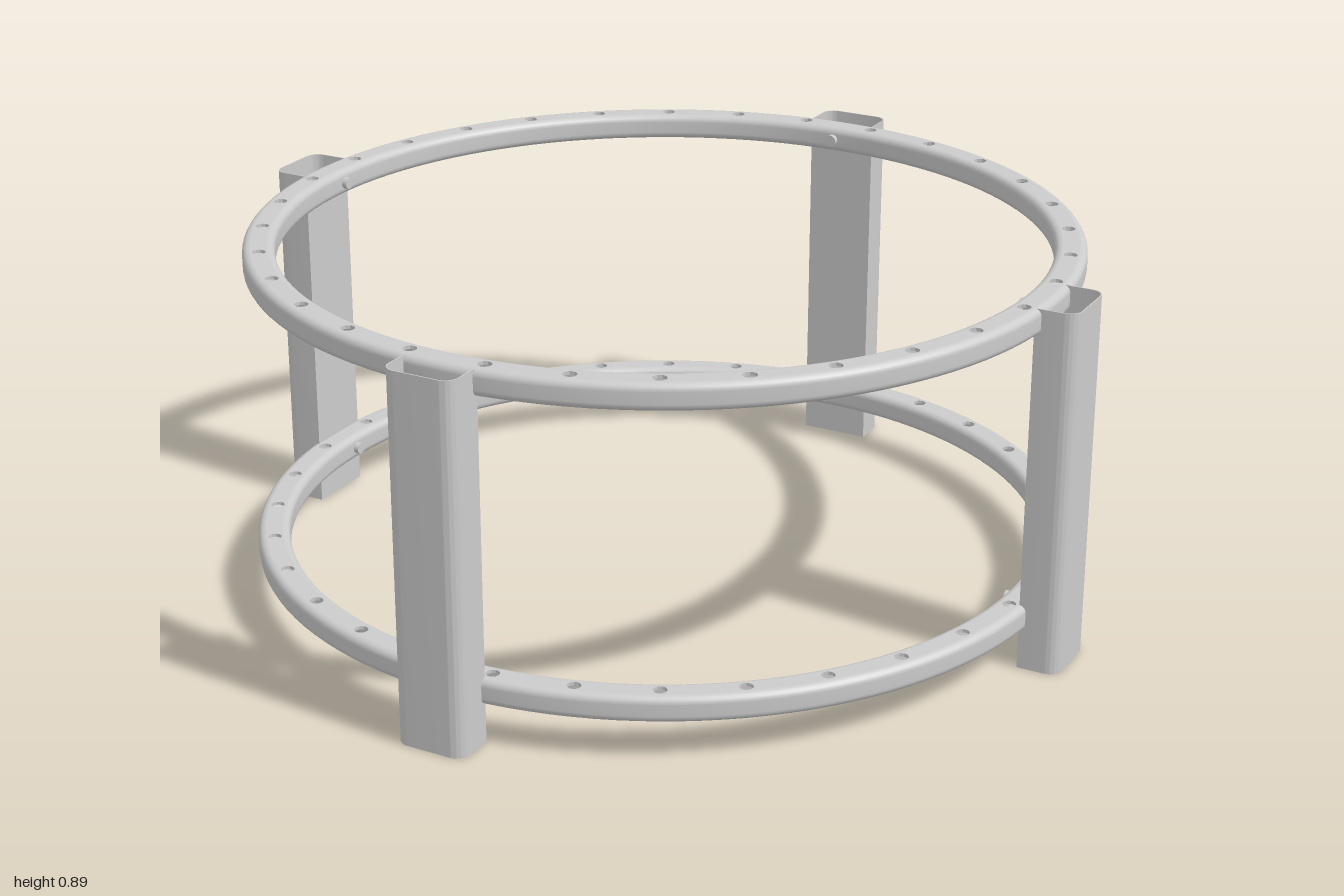
import * as THREE from 'three';
import { toCreasedNormals } from 'three/addons/utils/BufferGeometryUtils.js';

const material = new THREE.MeshStandardMaterial({ color: 0xcccccc, side: THREE.DoubleSide });

const RING_OUT = 1, RING_IN = 0.923, RING_H = 0.064, CORNER = 0.018;
const RING_BOTTOMS = [0.097, 0.827];
const HOLES = 32, HOLE_R = 0.016;
const LEG_H = 0.89;

function part(name, geometry) {
  const mesh = new THREE.Mesh(geometry, material);
  mesh.name = name;
  return mesh;
}

// Hollow ring: a rounded channel closed by a drilled top strip
function makeRing(name) {
  const ring = new THREE.Group();
  ring.name = name;

  const profile = [];
  const corner = (x, y, start) => {
    for (let i = 0; i <= 5; i++) {
      const a = start - (i / 5) * Math.PI / 2;
      profile.push(new THREE.Vector2(x + Math.cos(a) * CORNER, y + Math.sin(a) * CORNER));
    }
  };
  corner(RING_OUT - CORNER, RING_H - CORNER, Math.PI / 2);
  corner(RING_OUT - CORNER, CORNER, 0);
  corner(RING_IN + CORNER, CORNER, -Math.PI / 2);
  corner(RING_IN + CORNER, RING_H - CORNER, Math.PI);
  profile.reverse(); // faces point outwards
  ring.add(part('ringChannel', new THREE.LatheGeometry(profile, 128)));

  const strip = new THREE.Shape().absarc(0, 0, RING_OUT - CORNER, 0, Math.PI * 2);
  strip.holes.push(new THREE.Path().absarc(0, 0, RING_IN + CORNER, 0, Math.PI * 2, true));
  const mid = (RING_OUT + RING_IN) / 2;
  for (let i = 0; i < HOLES; i++) {
    const a = ((i + 0.5) / HOLES) * Math.PI * 2;
    strip.holes.push(new THREE.Path().absarc(Math.cos(a) * mid, Math.sin(a) * mid, HOLE_R, 0, Math.PI * 2, true));
  }
  const top = new THREE.ExtrudeGeometry(strip, { depth: 0.008, bevelEnabled: false, curveSegments: 64 });
  top.rotateX(-Math.PI / 2).translate(0, RING_H - 0.008, 0);
  ring.add(part('drilledTop', toCreasedNormals(top, 0.6)));
  return ring;
}

// Leg outline: square against the ring, rounded on the outside
function legOutline(inset, PathType) {
  const w = 0.088 - inset, near = 0.98 + inset, far = 1.08 - inset, r = 0.033 - inset;
  const p = new PathType();
  p.moveTo(-w, near);
  p.lineTo(w, near);
  p.lineTo(w, far - r);
  p.absarc(w - r, far - r, r, 0, Math.PI / 2);
  p.lineTo(-w + r, far);
  p.absarc(-w + r, far - r, r, Math.PI / 2, Math.PI);
  p.closePath();
  return p;
}

function makeLeg() {
  const leg = new THREE.Group();
  leg.name = 'leg';

  // Thin open-topped wall with a floor
  const wall = legOutline(0, THREE.Shape);
  wall.holes.push(legOutline(0.003, THREE.Path));
  const wallGeo = new THREE.ExtrudeGeometry(wall, { depth: LEG_H, bevelEnabled: false, curveSegments: 10 });
  leg.add(part('legWall', toCreasedNormals(wallGeo.rotateX(-Math.PI / 2), 0.6)));
  const floor = new THREE.ExtrudeGeometry(legOutline(0.001, THREE.Shape), { depth: 0.004, bevelEnabled: false });
  leg.add(part('legFloor', floor.rotateX(-Math.PI / 2)));

  // Screw heads on the inside of each ring
  for (const y of RING_BOTTOMS) {
    const screw = new THREE.CylinderGeometry(0.015, 0.015, 0.03, 20);
    screw.rotateX(Math.PI / 2).translate(0, y + RING_H / 2, -0.925);
    leg.add(part('screwHead', screw));
  }
  return leg;
}

export function createModel() {
  const model = new THREE.Group();
  model.name = 'ringStand';

  RING_BOTTOMS.forEach((y, i) => {
    const ring = makeRing(i ? 'upperRing' : 'lowerRing');
    ring.position.y = y;
    model.add(ring);
  });

  for (let i = 0; i < 4; i++) {
    const leg = makeLeg();
    leg.rotation.y = Math.PI / 4 + i * Math.PI / 2;
    model.add(leg);
  }
  return model;
}
